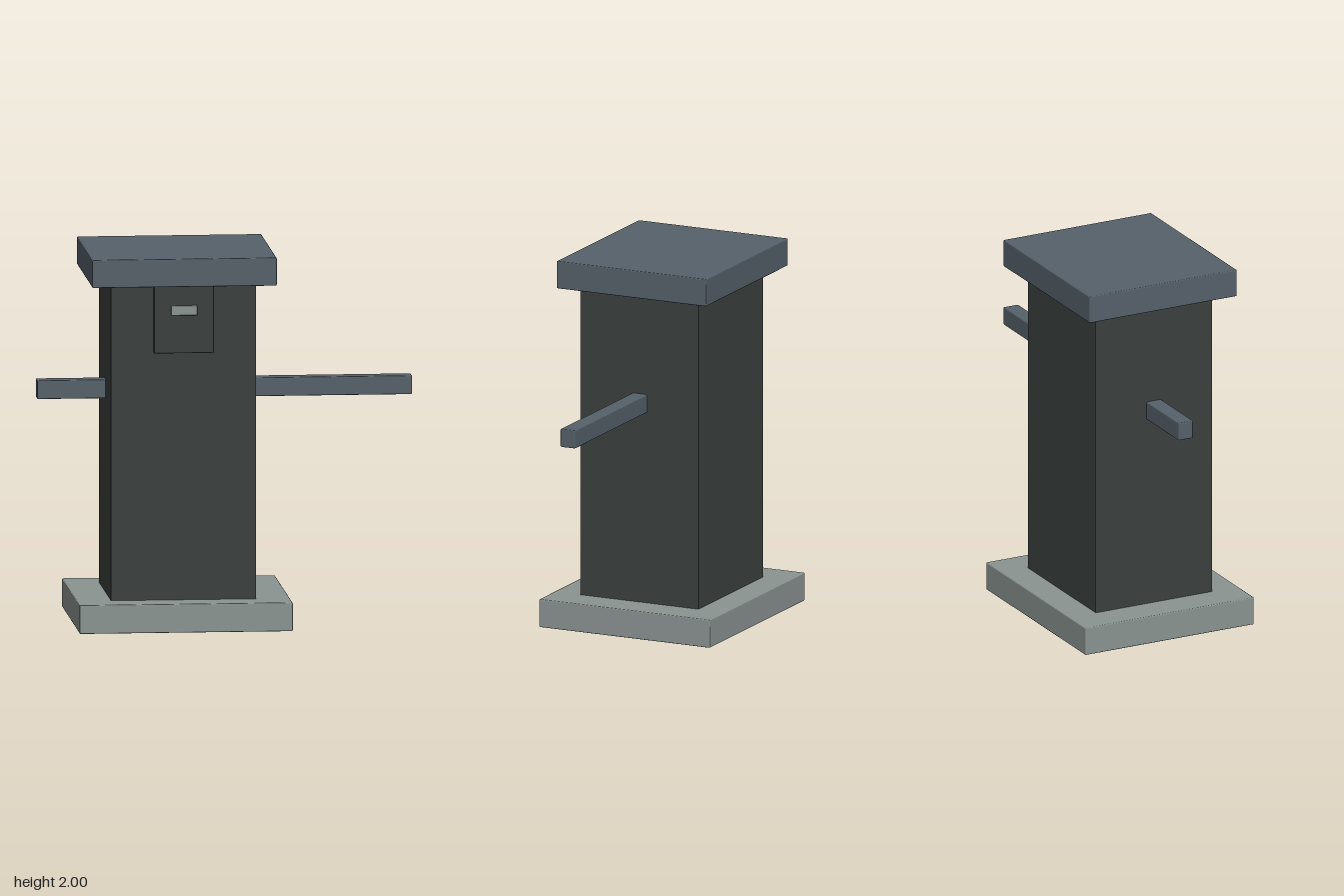
import * as THREE from 'three';
import { RoundedBoxGeometry } from 'three/addons/geometries/RoundedBoxGeometry.js';

const material = (name, color) => {
  const m = new THREE.MeshStandardMaterial({ color });
  m.name = name;
  return m;
};

export function createModel() {
  const group = new THREE.Group();
  const charcoal = material('charcoal', 0x3b413f);
  const slate = material('slate blue', 0x56616a);
  const stone = material('pale stone', 0x8b9492);

  // Box given by its extents, with softly bevelled edges
  const addBox = (name, mat, [x0, x1], [y0, y1], [z0, z1], bevel = 0.006) => {
    const size = [x1 - x0, y1 - y0, z1 - z0];
    const geometry = bevel
      ? new RoundedBoxGeometry(...size, 1, bevel)
      : new THREE.BoxGeometry(...size);
    const mesh = new THREE.Mesh(geometry, mat);
    mesh.name = name;
    mesh.position.set((x0 + x1) / 2, (y0 + y1) / 2, (z0 + z1) / 2);
    group.add(mesh);
  };

  // Plinth, with the pillar's foot showing just below its underside
  addBox('base', stone, [-0.817, 0.32], [0.004, 0.158], [-0.506, 0.506]);
  addBox('pillar', charcoal, [-0.635, 0.139], [0, 1.87], [-0.349, 0.349], 0);
  addBox('cap', slate, [-0.743, 0.241], [1.85, 2], [-0.443, 0.443]);

  // Bar running through the pillar and out of both sides
  addBox('crossbar', slate, [-1, 1], [1.2, 1.3], [-0.044, 0.044]);

  // Hatch and its handle, standing slightly off the front face
  addBox('hatch', charcoal, [-0.41, -0.09], [1.487, 1.85], [0.364, 0.391], 0.004);
  addBox('hatchHandle', stone, [-0.32, -0.18], [1.692, 1.745], [0.394, 0.414], 0.005);

  return group;
}
